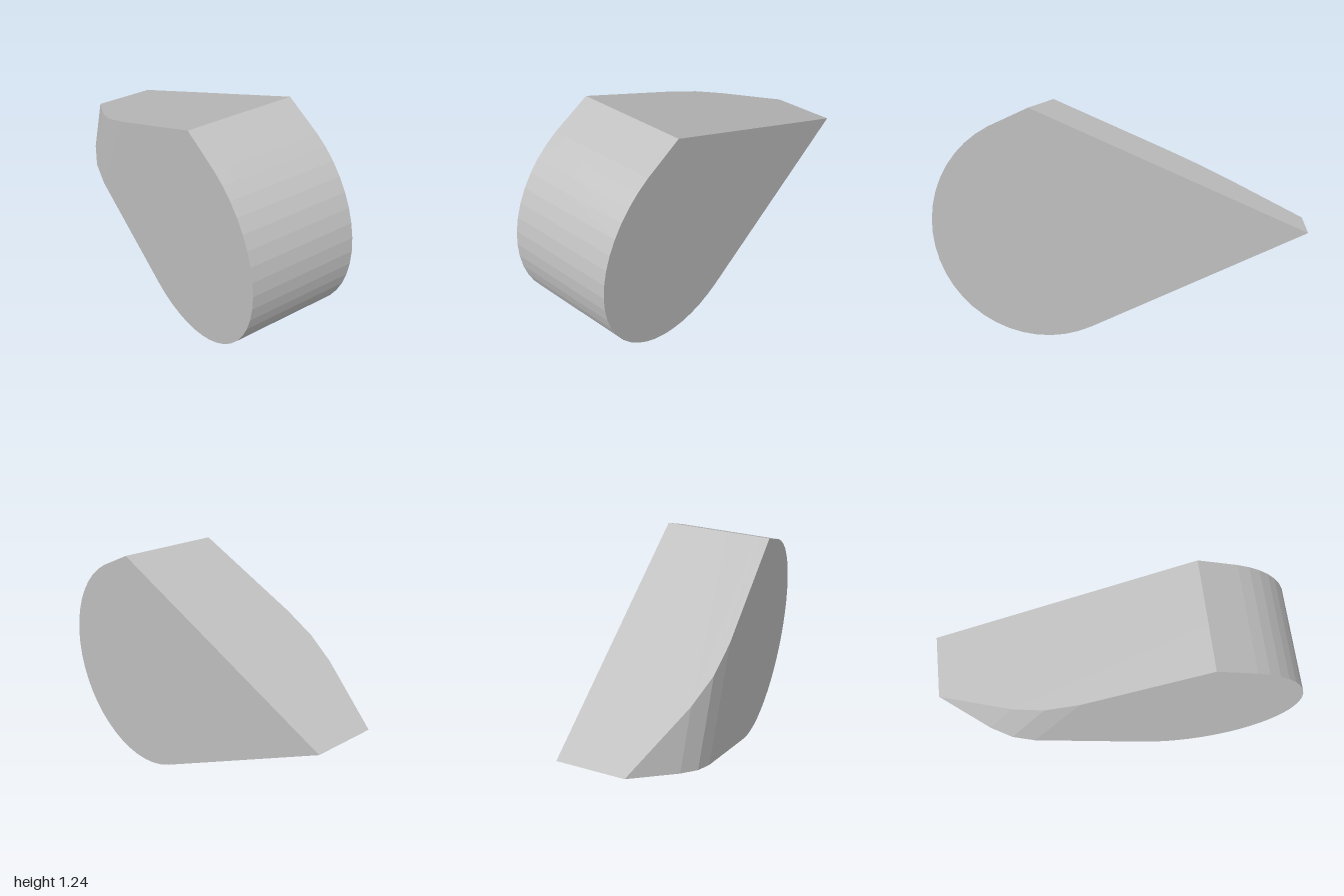
import * as THREE from 'three';

const HALF_WIDTH = 0.3;
const TIP = [-1, 0.627];          // [z, y] of the sharp rear edge
const APEX = [0.447, 1.245];      // [z, y] of the upper ridge
const CENTRE = [0.395, 0.605];    // rounded nose
const RADIUS = 0.605;
const ARC_STEPS = 24;

// Rounded nose, from the underside tangent point round the front to the top
const nose = [];
const start = Math.atan2(-2, -1);
for (let i = 0; i <= ARC_STEPS; i++) {
  const a = start + (Math.PI * i) / ARC_STEPS;
  nose.push([CENTRE[0] + RADIUS * Math.cos(a), CENTRE[1] + RADIUS * Math.sin(a)]);
}

// Side profile at one x; the rear is trimmed square to the underside,
// starting a distance u in front of the tip
function section(x, u) {
  const slope = (APEX[1] - TIP[1]) / (APEX[0] - TIP[0]);
  const t = (u * (0.5 + slope)) / (1 - 0.5 * slope);
  const bottom = [TIP[0] + u, TIP[1] - 0.5 * u];
  const top = [bottom[0] + 0.5 * t, bottom[1] + t];
  return [bottom, ...nose, APEX, top].map(([z, y]) => new THREE.Vector3(x, y, z));
}

function wedgeGeometry() {
  // Straight left part, then the bevelled right rear corner
  const sections = [
    [HALF_WIDTH, 0], [-0.056, 0], [-0.23, 0.257], [-0.282, 0.37], [-HALF_WIDTH, 0.49],
  ].map(([x, u]) => section(x, u));
  const positions = [];
  const triangle = (a, b, c) => {
    const area = b.clone().sub(a).cross(c.clone().sub(a)).length();
    if (area > 1e-7) for (const p of [a, b, c]) positions.push(p.x, p.y, p.z);
  };

  // Outer skin
  for (let s = 0; s < sections.length - 1; s++) {
    const a = sections[s], b = sections[s + 1];
    for (let j = 0; j < a.length; j++) {
      const k = (j + 1) % a.length;
      triangle(a[j], a[k], b[k]);
      triangle(a[j], b[k], b[j]);
    }
  }

  // Flat side caps
  const left = sections[0], right = sections[sections.length - 1];
  for (let j = 1; j < left.length - 1; j++) {
    triangle(left[0], left[j + 1], left[j]);
    triangle(right[0], right[j], right[j + 1]);
  }

  const geometry = new THREE.BufferGeometry();
  geometry.setAttribute('position', new THREE.Float32BufferAttribute(positions, 3));
  geometry.computeVertexNormals();
  return geometry;
}

export function createModel() {
  const group = new THREE.Group();
  group.name = 'roundedWedge';
  const grey = new THREE.MeshStandardMaterial({ color: 0xc0c0c0 });
  grey.name = 'light grey';
  const body = new THREE.Mesh(wedgeGeometry(), grey);
  body.name = 'wedgeBody';
  group.add(body);
  return group;
}
